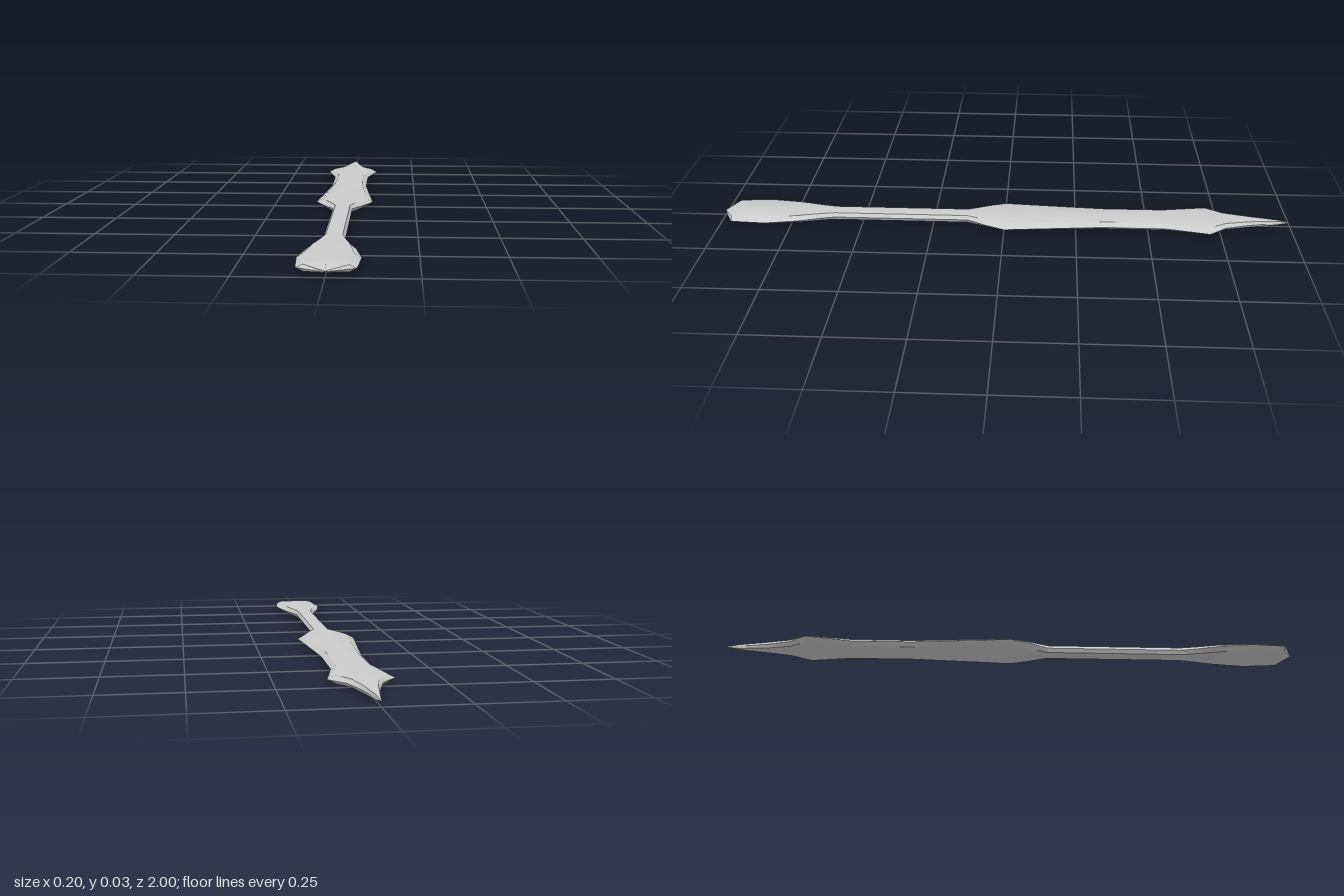
import * as THREE from 'three';
import { toCreasedNormals } from 'three/addons/utils/BufferGeometryUtils.js';

const MID = 0.016; // height of the cutting edge

// Skin bevelled eight-point sections, each given as [z, half width, half height]
function loft(name, sections, material) {
  const positions = [];
  const indices = [];
  for (const [z, w, h] of sections) {
    const ring = [
      [w, 0], [w * 0.76, h * 0.82], [0, h], [-w * 0.76, h * 0.82],
      [-w, 0], [-w * 0.76, -h * 0.82], [0, -h], [w * 0.76, -h * 0.82],
    ];
    for (const [x, y] of ring) positions.push(x, MID + y, z);
  }
  for (let i = 0; i < sections.length - 1; i++) {
    for (let j = 0; j < 8; j++) {
      const k = (j + 1) % 8;
      const a = i * 8 + j, b = i * 8 + k;
      indices.push(a, b, b + 8, a, b + 8, a + 8);
    }
  }
  const geometry = new THREE.BufferGeometry();
  geometry.setAttribute('position', new THREE.Float32BufferAttribute(positions, 3));
  geometry.setIndex(indices);
  const mesh = new THREE.Mesh(toCreasedNormals(geometry, THREE.MathUtils.degToRad(32)), material);
  mesh.name = name;
  return mesh;
}

export function createModel() {
  const group = new THREE.Group();
  group.name = 'dagger';
  const material = new THREE.MeshStandardMaterial({ color: 0xcccccc });

  // Blade: needle point, barbed shoulders, waist and flared base
  group.add(loft('blade', [
    [-1, 0.0005, 0.001],
    [-0.95, 0.008, 0.009],
    [-0.85, 0.028, 0.0135],
    [-0.77, 0.052, 0.015],
    [-0.71, 0.1, 0.0155],
    [-0.56, 0.067, 0.016],
    [-0.35, 0.066, 0.016],
    [-0.2, 0.08, 0.016],
    [0, 0.1, 0.016],
    [0.06, 0.072, 0.016],
    [0.13, 0.033, 0.016],
  ], material));

  // Slim straight grip
  group.add(loft('grip', [[0.13, 0.033, 0.016], [0.6, 0.033, 0.016]], material));

  // Flared pommel ending in a shallow point
  group.add(loft('pommel', [
    [0.6, 0.033, 0.016],
    [0.65, 0.045, 0.016],
    [0.73, 0.07, 0.016],
    [0.84, 0.09, 0.0155],
    [0.93, 0.084, 0.014],
    [0.96, 0.081, 0.012],
    [1, 0.0005, 0.002],
  ], material));

  return group;
}
